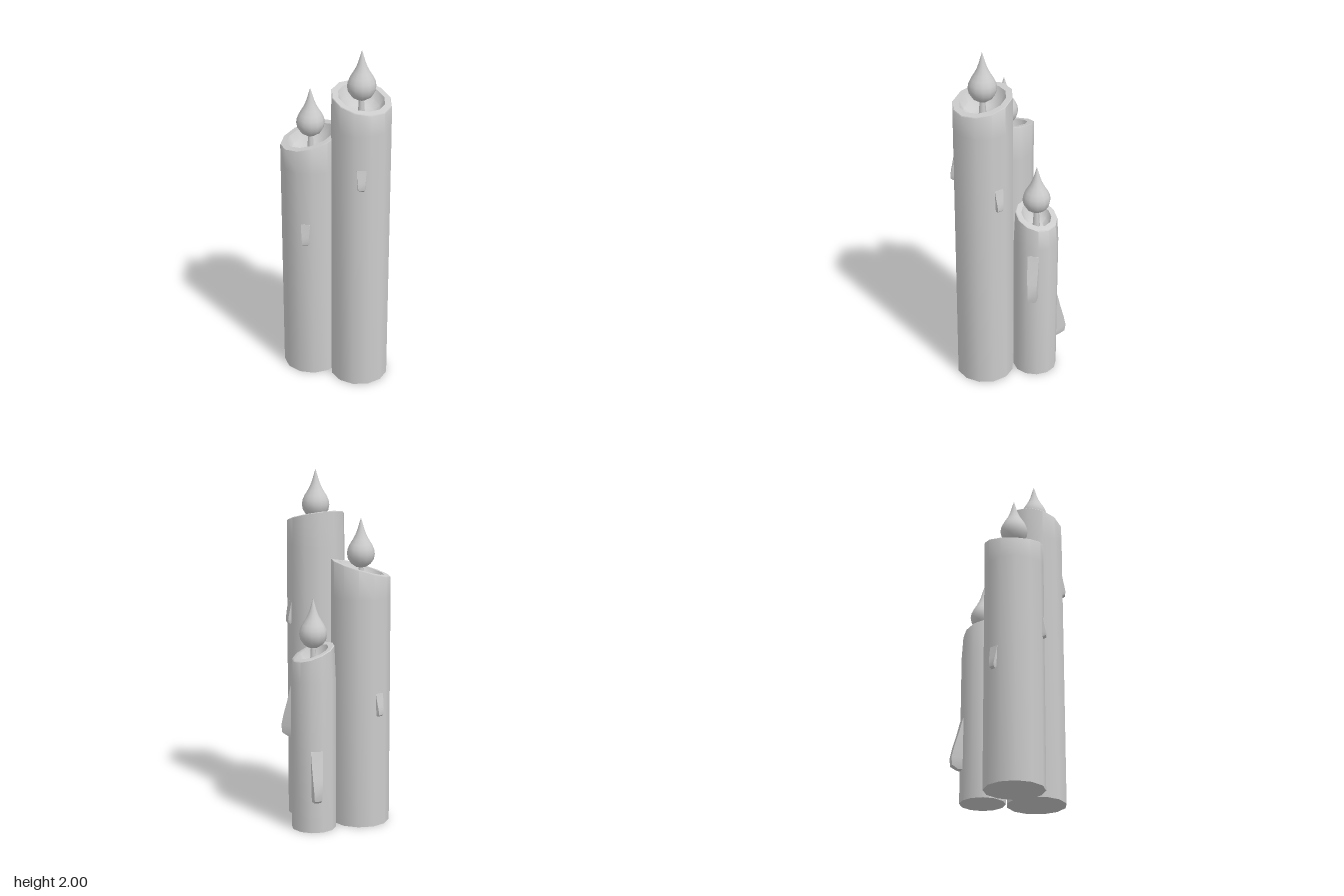
import * as THREE from 'three';
import { toCreasedNormals } from 'three/addons/utils/BufferGeometryUtils.js';

const wax = new THREE.MeshStandardMaterial({ color: 0xcccccc });
wax.name = 'plain grey';

const lathe = (pts, sides, turn = 0) =>
  new THREE.LatheGeometry(pts.map(([r, y]) => new THREE.Vector2(r, y)), sides, turn);

function add(parent, geometry, name) {
  const mesh = new THREE.Mesh(geometry, wax);
  mesh.name = name;
  parent.add(mesh);
  return mesh;
}

// Twelve-sided wax column with a slanted rim and a hollow bowl on top
function waxBody({ r, top, rim, inner, height, depth, tilt, turn }) {
  const shoulder = height - 0.16;
  const g = lathe([
    [0, 0], [r, 0], [r, shoulder], [top, height - 0.004], [rim, height], [inner, height],
    [inner * 0.82, height - depth * 0.55], [inner * 0.5, height - depth * 0.9], [0, height - depth],
  ], 12, turn);
  const p = g.attributes.position;
  for (let i = 0; i < p.count; i++) {
    if (p.getY(i) > shoulder + 0.01) {
      p.setY(i, p.getY(i) + tilt[0] * p.getX(i) + tilt[1] * p.getZ(i));
    }
  }
  return toCreasedNormals(g, 0.65);
}

// Teardrop flame, origin at its tip
function flame() {
  return lathe([
    [0, -0.277], [0.028, -0.273], [0.054, -0.256], [0.072, -0.23], [0.078, -0.2],
    [0.074, -0.173], [0.062, -0.147], [0.045, -0.12], [0.03, -0.092],
    [0.018, -0.06], [0.008, -0.025], [0, 0],
  ], 12);
}

// Drip of wax: thin and wide at the top, thick and narrow at the bottom
function drip(length, width, out) {
  const rows = [ // width and thickness factors, top to bottom
    [1, 0.05], [0.92, 0.4], [0.82, 0.75], [0.7, 1], [0.62, 0.92], [0.5, 0.35],
  ];
  const heights = [0, -0.3, -0.55, -0.78, -0.93, -1];
  const g = new THREE.BoxGeometry(1, 1, 1, 1, 5, 1);
  const p = g.attributes.position;
  for (let i = 0; i < p.count; i++) {
    const k = Math.round((0.5 - p.getY(i)) * 5);
    const outer = p.getZ(i) > 0;
    p.setXYZ(i,
      p.getX(i) * width * (outer ? rows[k][0] : 1),
      heights[k] * length,
      outer ? rows[k][1] * out : -0.025);
  }
  return toCreasedNormals(g, 0.7);
}

// drips: direction in x and z, distance from the axis, top height, length, width, thickness
const candles = [
  {
    name: 'tallCandle', x: 0.13, z: 0.147, r: 0.165, top: 0.163, rim: 0.16, inner: 0.127,
    height: 1.735, depth: 0.09, tilt: [-0.16, -0.2], turn: 0.24, tip: 2,
    drips: [[-0.01, 0.165, 0.16, 1.38, 0.12, 0.052, 0.018],
      [0.15, -0.08, 0.16, 1.26, 0.13, 0.052, 0.018]],
  },
  {
    name: 'middleCandle', x: -0.135, z: 0.013, r: 0.167, top: 0.167, rim: 0.165, inner: 0.13,
    height: 1.462, depth: 0.09, tilt: [0.29, -0.03], turn: 0, tip: 1.74,
    drips: [[-0.042, 0.165, 0.162, 0.99, 0.13, 0.052, 0.018],
      [-0.12, -0.123, 0.162, 0.77, 0.13, 0.052, 0.018]],
  },
  {
    name: 'shortCandle', x: 0.118, z: -0.147, r: 0.126, top: 0.118, rim: 0.113, inner: 0.084,
    height: 1.012, depth: 0.08, tilt: [-0.32, 0.2], turn: 0, tip: 1.31,
    drips: [[-0.041, -0.165, 0.121, 0.47, 0.29, 0.066, 0.062],
      [0.17, 0.038, 0.121, 0.81, 0.29, 0.066, 0.062]],
  },
];

export function createModel() {
  const model = new THREE.Group();
  model.name = 'candles';
  for (const c of candles) {
    const group = new THREE.Group();
    group.name = c.name;
    group.position.set(c.x, 0, c.z);
    model.add(group);

    add(group, waxBody(c), 'waxBody');
    add(group, flame(), 'flame').position.y = c.tip;

    // Wick from the bowl into the flame
    const low = c.height - c.depth - 0.01;
    const high = c.tip - 0.25;
    const wick = new THREE.CylinderGeometry(0.013, 0.022, high - low, 6);
    add(group, wick, 'wick').position.y = (low + high) / 2;

    for (const [dx, dz, dist, y, length, width, out] of c.drips) {
      const angle = Math.atan2(dx, dz);
      const d = add(group, drip(length, width, out), 'waxDrip');
      d.position.set(Math.sin(angle) * dist, y, Math.cos(angle) * dist);
      d.rotation.y = angle;
    }
  }
  return model;
}
